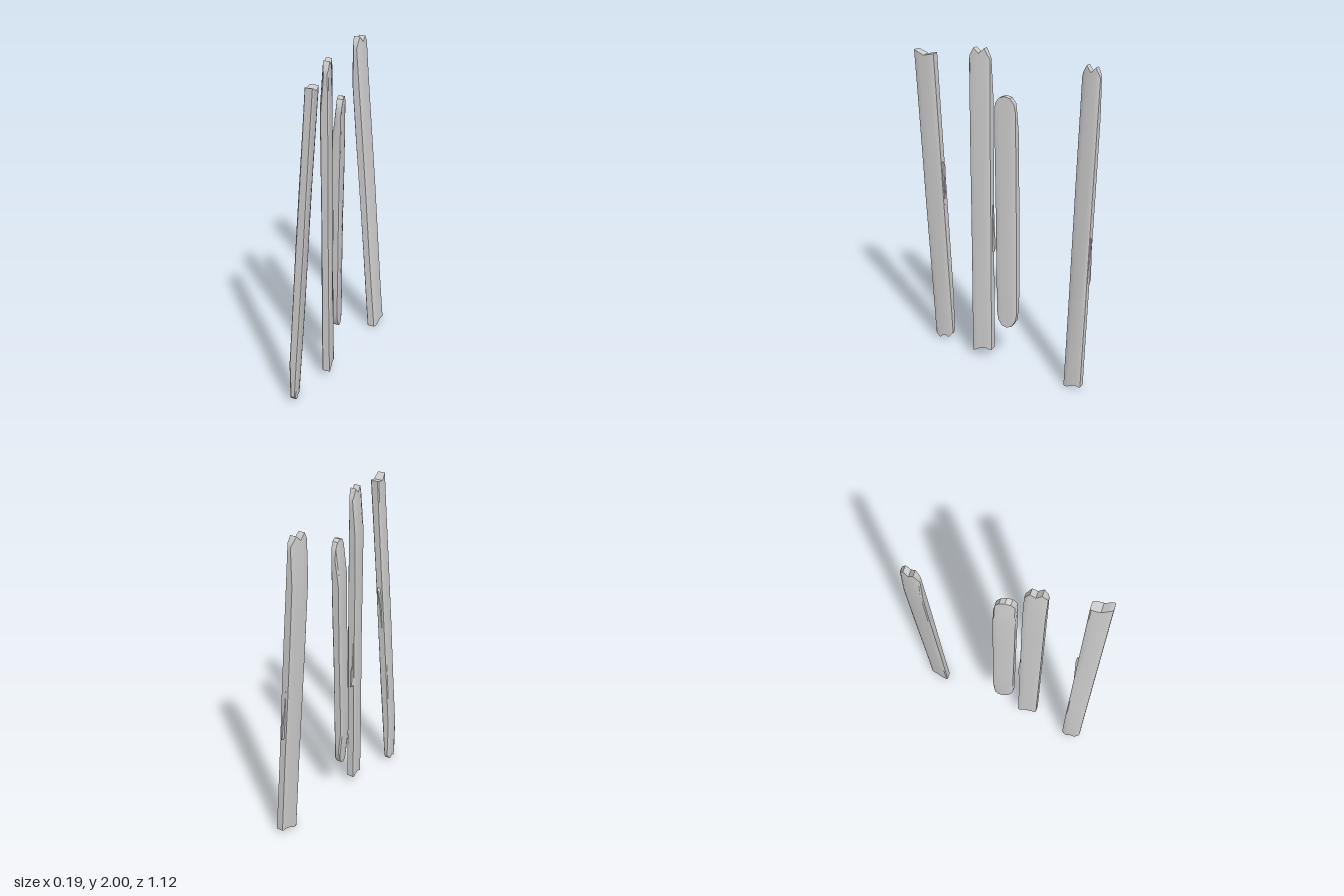
import * as THREE from 'three';
import { toCreasedNormals } from 'three/addons/utils/BufferGeometryUtils.js';
import { ConvexGeometry } from 'three/addons/geometries/ConvexGeometry.js';

const material = new THREE.MeshStandardMaterial({ color: 0xcccccc, roughness: 0.9 });

// Stations across the plank's depth (back to front) and the thickness at each
const STATIONS = [-1, -0.88, -0.5, 0, 0.5, 0.88, 1];
const THICKNESS = [0.7, 0.87, 0.96, 1, 0.96, 0.87, 0.7];
const LEVELS = [0, 0.03, 0.12, 0.3, 0.5, 0.7, 0.88, 0.97, 1];
const COUNT = STATIONS.length;

// Each plank: z centre, x of the middle line at y = 0 and y = 2, skew of its section,
// end heights per station, which end is worn ('top', 'bottom' or 'both'), splinter [tip y, root y, x shift]
const PLANKS = [
  { name: 'frontPlank', z: 0.5, x0: -0.073, x2: 0.073, skew: 0.17, half: 0.058, worn: 'bottom',
    top: [1.945, 1.945, 1.94, 1.935, 1.95, 1.962, 1.962],
    bottom: [0.06, 0.045, 0.02, 0.035, 0.012, 0.035, 0.045], splinter: [1.27, 0.88, 0] },
  { name: 'middlePlank', z: 0.17, x0: 0.01, x2: 0.007, skew: 0.2, half: 0.06, worn: 'top',
    top: [1.94, 1.955, 2, 1.97, 2, 1.96, 1.935],
    bottom: [0.06, 0.06, 0.07, 0.07, 0.055, 0.042, 0.042], splinter: [0.74, 1.2, -0.01] },
  { name: 'shortPlank', z: 0.003, x0: -0.015, x2: 0.02, skew: 0.2, half: 0.062, worn: 'both',
    top: [1.64, 1.7, 1.735, 1.745, 1.735, 1.7, 1.64],
    bottom: [0.35, 0.3, 0.26, 0.25, 0.26, 0.3, 0.35] },
  { name: 'backPlank', z: -0.485, x0: 0.073, x2: -0.073, skew: -0.17, half: 0.058, worn: 'top',
    top: [1.9, 1.92, 1.955, 1.925, 1.96, 1.92, 1.89],
    bottom: [0.025, 0.025, 0.03, 0.02, 0.004, 0, 0], splinter: [0.7, 1.12, 0] },
];

const middleX = (p, y) => THREE.MathUtils.lerp(p.x0, p.x2, y / 2);

// A point of the plank's surface: level t, station k, side +1 or -1
function surfacePoint(p, t, k, side) {
  const y = THREE.MathUtils.lerp(p.bottom[k], p.top[k], t);
  const dz = STATIONS[k] * p.half;
  let thick = 0.029 * THICKNESS[k] * (1 + 0.06 * Math.sin(t * 9 + k + p.z * 8));
  // the left-over wear narrows one face towards the worn end
  const fromEnd = p.worn === 'top' ? 1 - t : p.worn === 'bottom' ? t : Math.min(t, 1 - t);
  if (side < 0) thick -= 0.019 * Math.max(0, 1 - fromEnd / 0.12);
  return [middleX(p, y) + dz * p.skew + side * thick, y, p.z + dz];
}

// Plank body: one ring per level, closed by jagged end faces
function plankGeometry(p) {
  const pos = [];
  const index = [];
  const ring = 2 * COUNT;
  for (const t of LEVELS) {
    for (let k = 0; k < COUNT; k++) pos.push(...surfacePoint(p, t, k, 1));
    for (let k = COUNT - 1; k >= 0; k--) pos.push(...surfacePoint(p, t, k, -1));
  }
  for (let i = 0; i < LEVELS.length - 1; i++) {
    for (let j = 0; j < ring; j++) {
      const a = i * ring + j;
      const b = i * ring + (j + 1) % ring;
      index.push(a, a + ring, b, b, a + ring, b + ring);
    }
  }
  const last = (LEVELS.length - 1) * ring;
  for (let k = 0; k < COUNT - 1; k++) {
    const m = ring - 1 - k;
    index.push(last + m, last + m - 1, last + k + 1, last + m, last + k + 1, last + k);
    index.push(m, k + 1, m - 1, m, k, k + 1);
  }
  const geometry = new THREE.BufferGeometry();
  geometry.setAttribute('position', new THREE.Float32BufferAttribute(pos, 3));
  geometry.setIndex(index);
  return toCreasedNormals(geometry, 0.6);
}

// Splinter: a wedge peeling off the back edge, blunt at its tip
function splinterGeometry(p) {
  const [tip, root, shift] = p.splinter;
  const back = p.z - p.half;
  const at = (dx, y, dz) =>
    new THREE.Vector3(middleX(p, y) - p.half * p.skew + shift + dx, y, back + dz);
  const inset = Math.sign(root - tip) * 0.025;
  return new ConvexGeometry([
    at(-0.012, tip, 0.012), at(0.016, tip, 0.012),
    at(0.008, tip, -0.012), at(-0.004, tip + inset, -0.014),
    at(-0.006, root, 0.004), at(0.006, root, 0.004),
  ]);
}

export function createModel() {
  const model = new THREE.Group();
  model.name = 'planks';
  for (const p of PLANKS) {
    const plank = new THREE.Group();
    plank.name = p.name;
    const body = new THREE.Mesh(plankGeometry(p), material);
    body.name = 'plankBody';
    plank.add(body);
    if (p.splinter) {
      const splinter = new THREE.Mesh(splinterGeometry(p), material);
      splinter.name = 'splinter';
      plank.add(splinter);
    }
    model.add(plank);
  }
  return model;
}
